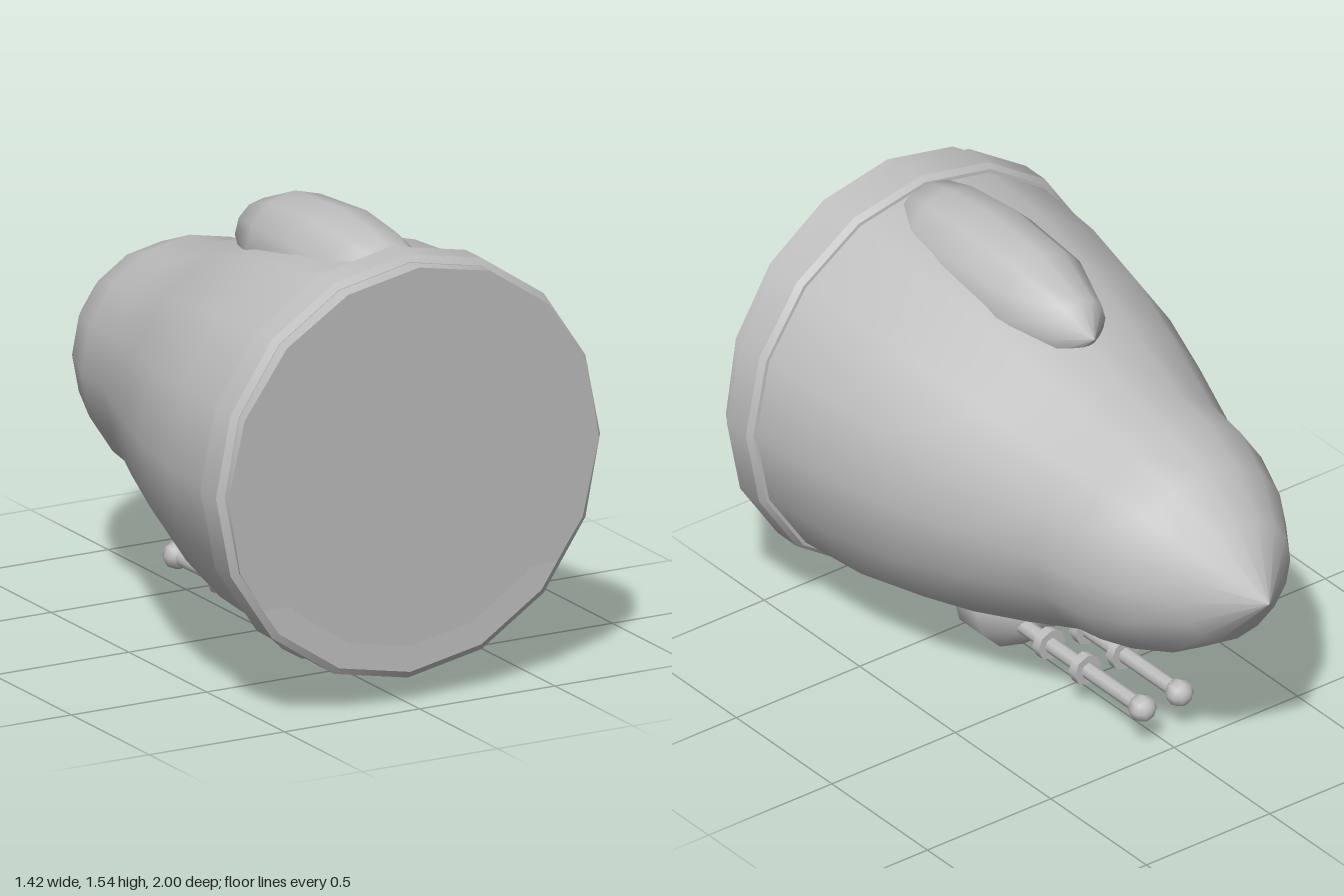
import * as THREE from 'three';
import { mergeGeometries } from 'three/addons/utils/BufferGeometryUtils.js';

const AXIS_Y = 0.8;

// Profile points are [radius, z], listed from back to front.
function latheZ(profile, sides) {
  const points = profile.map(([r, z]) => new THREE.Vector2(r, z));
  return new THREE.LatheGeometry(points, sides).rotateX(Math.PI / 2);
}

// Same, but with a sharp crease at every profile point.
function creasedLatheZ(profile, sides) {
  return mergeGeometries(profile.slice(1).map((p, i) => latheZ([profile[i], p], sides)));
}

function rodZ(radius, zBack, zFront, sides) {
  return new THREE.CylinderGeometry(radius, radius, zFront - zBack, sides)
    .rotateX(Math.PI / 2).translate(0, 0, (zBack + zFront) / 2);
}

export function createModel() {
  const model = new THREE.Group();
  const grey = new THREE.MeshStandardMaterial({ color: 0xc0c0c0 });
  grey.name = 'hull grey';

  function add(parent, name, geometry, x = 0, y = 0) {
    const mesh = new THREE.Mesh(geometry, grey);
    mesh.name = name;
    mesh.position.set(x, y, 0);
    parent.add(mesh);
  }

  // Main hull, pointed at the back
  add(model, 'hull', latheZ([
    [0, -1], [0.215, -0.83], [0.33, -0.66], [0.4, -0.48], [0.42, -0.31],
    [0.53, 0], [0.61, 0.25], [0.665, 0.53], [0.685, 0.82],
  ], 16), 0, AXIS_Y);

  // Bevelled collar
  add(model, 'collar', creasedLatheZ([
    [0.68, 0.803], [0.695, 0.805], [0.71, 0.825], [0.71, 0.925], [0.687, 0.94], [0.6, 0.94],
  ], 16), 0, AXIS_Y);

  // Front plug, its face leaning back towards the bottom
  const plug = rodZ(0.685, 0.9, 1, 16);
  const pos = plug.attributes.position;
  for (let i = 0; i < pos.count; i++) {
    if (pos.getZ(i) > 0.95) pos.setZ(i, 0.962 + 0.055 * pos.getY(i));
  }
  plug.computeVertexNormals();
  add(model, 'frontPlug', plug, 0, AXIS_Y);

  // Long blister on top
  add(model, 'topBlister', latheZ([
    [0, -0.085], [0.105, -0.005], [0.185, 0.2], [0.205, 0.48],
    [0.187, 0.68], [0.16, 0.785], [0.11, 0.818], [0, 0.825],
  ], 12), 0, 1.345);

  // Belly turret
  const turret = new THREE.Group();
  turret.name = 'bellyTurret';
  model.add(turret);
  add(turret, 'turretBall', latheZ([
    [0, 0.15], [0.105, 0.18], [0.195, 0.285], [0.195, 0.405], [0.105, 0.5], [0, 0.53],
  ], 12), 0, 0.2);

  // Twin barrels with collars and round tips
  for (const [side, x] of [['left', 0.075], ['right', -0.075]]) {
    const gun = new THREE.Group();
    gun.name = side + 'Gun';
    gun.position.set(x, 0.15, 0);
    turret.add(gun);
    add(gun, 'barrel', rodZ(0.027, -0.41, 0.25, 8));
    for (const z of [0.06, -0.13]) add(gun, 'barrelCollar', rodZ(0.054, z - 0.017, z + 0.017, 8));
    add(gun, 'barrelTip', new THREE.SphereGeometry(0.047, 8, 6).rotateX(Math.PI / 2).translate(0, 0, -0.43));
  }

  return model;
}
